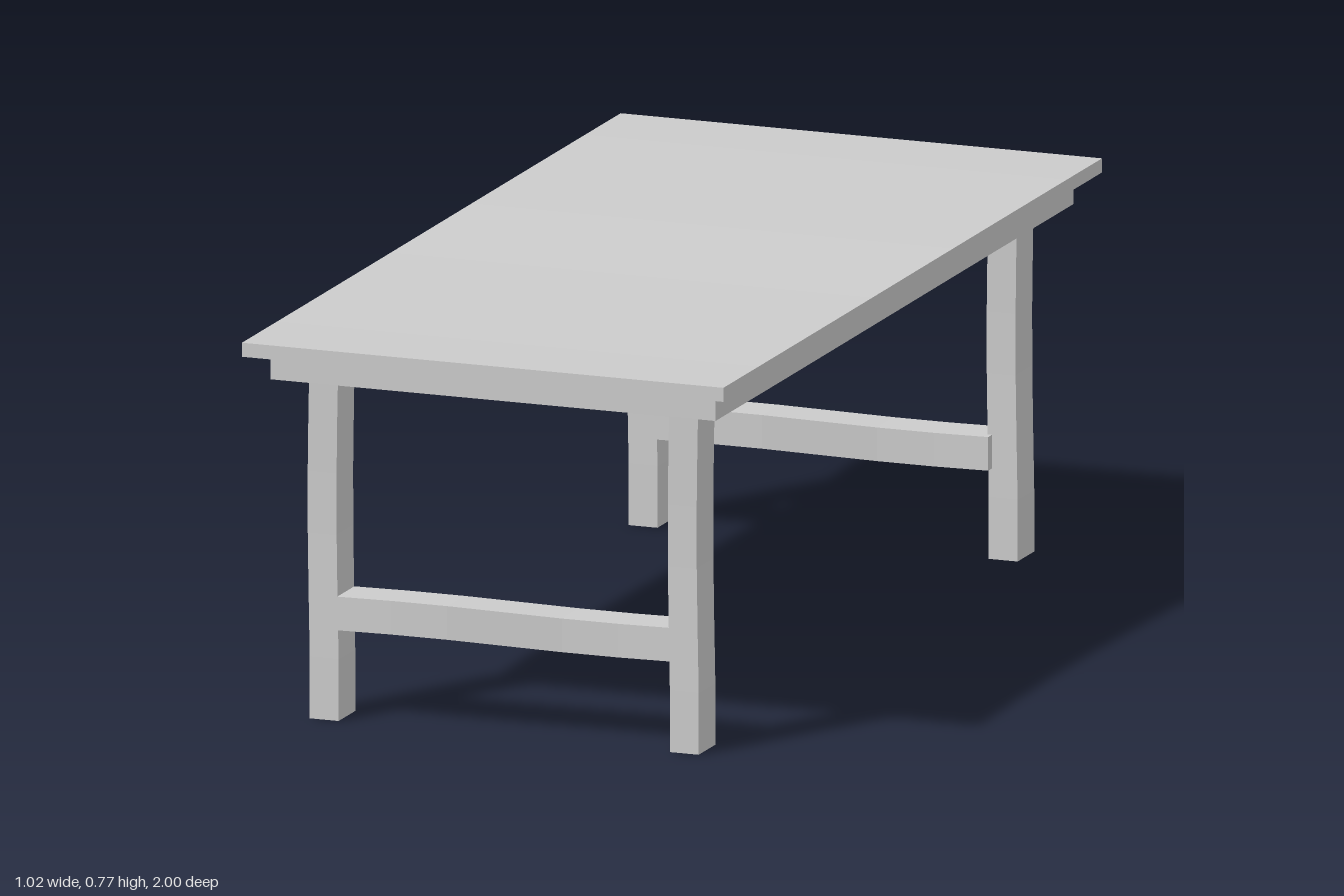
import * as THREE from 'three';

const material = new THREE.MeshStandardMaterial({ color: 0xcccccc, flatShading: true });

// Timber from lo to hi corner, split into segments and bent by a rule on each vertex
function timber(name, lo, hi, segments, bend) {
  const size = hi.map((v, i) => v - lo[i]);
  const geometry = new THREE.BoxGeometry(...size, ...segments);
  geometry.translate(...lo.map((v, i) => (v + hi[i]) / 2));
  const p = geometry.attributes.position;
  for (let i = 0; i < p.count; i++) {
    const [dx, dy, dz] = bend(p.getX(i), p.getY(i), p.getZ(i));
    p.setXYZ(i, p.getX(i) + dx, p.getY(i) + dy, p.getZ(i) + dz);
  }
  geometry.computeVertexNormals();
  const mesh = new THREE.Mesh(geometry, material);
  mesh.name = name;
  return mesh;
}

// Hand-hewn warps of the top, the legs and the stretchers
const topWarp = (x, y, z) => {
  const s = -Math.sin(Math.PI * z);
  return [0.01 * s, 0.007 * s, 0];
};
const legWarp = (x, y) => {
  const t = Math.max(0, (y - 0.14) / 0.6);
  const s = Math.sin(Math.PI * Math.min(1, t));
  return [-0.006 * s, 0, -0.004 * s];
};
const stretcherWarp = (x) => {
  const s = -Math.sin((2 * Math.PI * x) / 0.7);
  return [0, 0.004 * s, 0.008 * s];
};

export function createModel() {
  const table = new THREE.Group();
  table.name = 'table';

  // Table top
  table.add(timber('tableTop', [-0.5, 0.737, -1], [0.5, 0.765, 1], [1, 1, 10], topWarp));

  for (const side of [1, -1]) {
    const label = side > 0 ? 'left' : 'right';
    const end = side > 0 ? 'front' : 'back';

    // Apron frame under the top
    const ax = 0.435 * side, az = 0.915 * side;
    table.add(timber(label + 'Apron', [ax - 0.027, 0.683, -0.94], [ax + 0.027, 0.738, 0.94], [1, 1, 10], topWarp));
    table.add(timber(end + 'Apron', [-0.41, 0.683, az - 0.025], [0.41, 0.738, az + 0.025], [1, 1, 1], topWarp));

    // Legs of this end
    for (const sx of [1, -1]) {
      const x = 0.374 * sx, z = 0.842 * side;
      table.add(timber(end + (sx > 0 ? 'Left' : 'Right') + 'Leg',
        [x - 0.03, 0, z - 0.044], [x + 0.03, 0.738, z + 0.044], [1, 6, 1], legWarp));
    }

    // Stretcher between the legs
    const z = side > 0 ? 0.84 : -0.825;
    table.add(timber(end + 'Stretcher', [-0.35, 0.18, z - 0.045], [0.35, 0.247, z + 0.045], [6, 1, 1], stretcherWarp));
  }
  return table;
}
